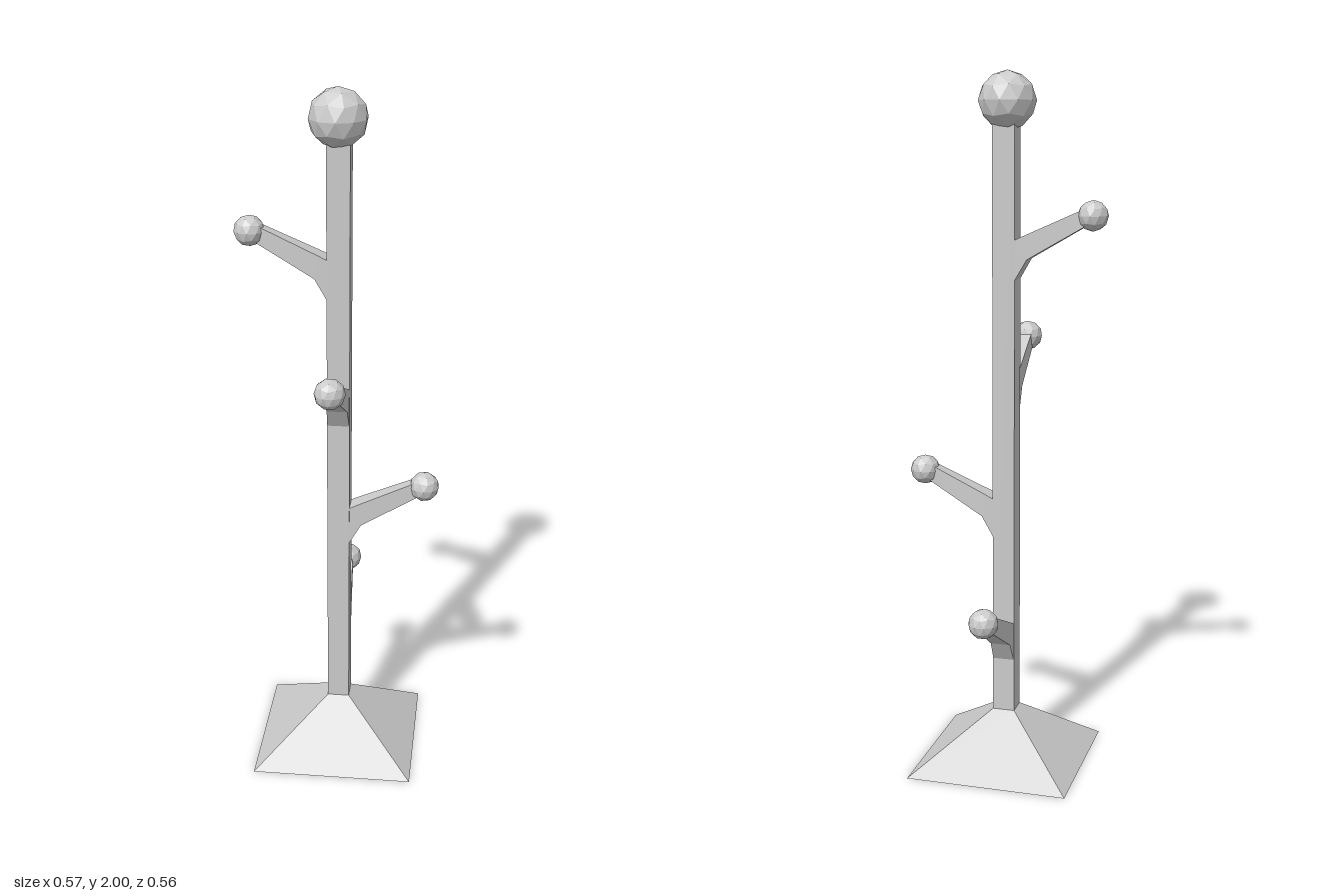
import * as THREE from 'three';

const material = new THREE.MeshStandardMaterial({ color: 0xcccccc, flatShading: true });

function add(parent, name, geometry, x = 0, y = 0, z = 0) {
  const mesh = new THREE.Mesh(geometry, material);
  mesh.name = name;
  mesh.position.set(x, y, z);
  parent.add(mesh);
  return mesh;
}

// Faceted ball with a vertex at its pole
function ballGeometry(radius) {
  const g = new THREE.IcosahedronGeometry(radius, 1);
  g.rotateZ(-Math.atan(2 / (1 + Math.sqrt(5))));
  return g;
}

// Tapered branch along +x, lofted through rectangular sections; y = 0 is the ball centre
function branchGeometry() {
  // bottom x, bottom y, top x, top y, half width
  const sections = [
    [0.025, -0.19, 0.025, -0.071, 0.031],
    [0.032, -0.18, 0.032, -0.068, 0.031],
    [0.066, -0.122, 0.055, -0.057, 0.029],
    [0.23, -0.027, 0.225, 0.019, 0.018],
  ];
  const rings = sections.map(([bx, by, tx, ty, w]) => [
    [bx, by, -w], [bx, by, w], [tx, ty, w], [tx, ty, -w],
  ]);
  const points = [];
  for (let i = 0; i < rings.length - 1; i++) {
    const a = rings[i], b = rings[i + 1];
    for (let j = 0; j < 4; j++) {
      const k = (j + 1) % 4;
      points.push(...a[j], ...b[j], ...a[k], ...a[k], ...b[j], ...b[k]);
    }
  }
  const g = new THREE.BufferGeometry();
  g.setAttribute('position', new THREE.Float32BufferAttribute(points, 3));
  g.computeVertexNormals();
  return g;
}

export function createModel() {
  const model = new THREE.Group();
  model.name = 'coatStand';
  const stand = new THREE.Group();
  stand.name = 'stand';
  stand.position.set(0.005, 0, 0.006);
  model.add(stand);

  // Pyramid foot
  const foot = new THREE.CylinderGeometry(0.032 * Math.SQRT2, 0.234 * Math.SQRT2, 0.157, 4);
  foot.rotateY(Math.PI / 4);
  add(stand, 'base', foot, 0, 0.0785, 0);

  // Square post and top ball
  add(stand, 'post', new THREE.BoxGeometry(0.064, 1.75, 0.064), 0, 1.03, 0);
  add(stand, 'topBall', ballGeometry(0.081), -0.003, 1.919, 0);

  // Four hooks climbing the post: back, left, front, right
  const names = ['backHook', 'leftHook', 'frontHook', 'rightHook'];
  for (let i = 0; i < 4; i++) {
    const hook = new THREE.Group();
    hook.name = names[i];
    hook.position.y = 0.496 + i * 0.3715;
    hook.rotation.y = Math.PI / 2 - i * Math.PI / 2;
    add(hook, 'branch', branchGeometry());
    add(hook, 'hookBall', ballGeometry(0.043), i % 2 ? 0.246 : 0.238, 0, 0);
    stand.add(hook);
  }
  return model;
}
